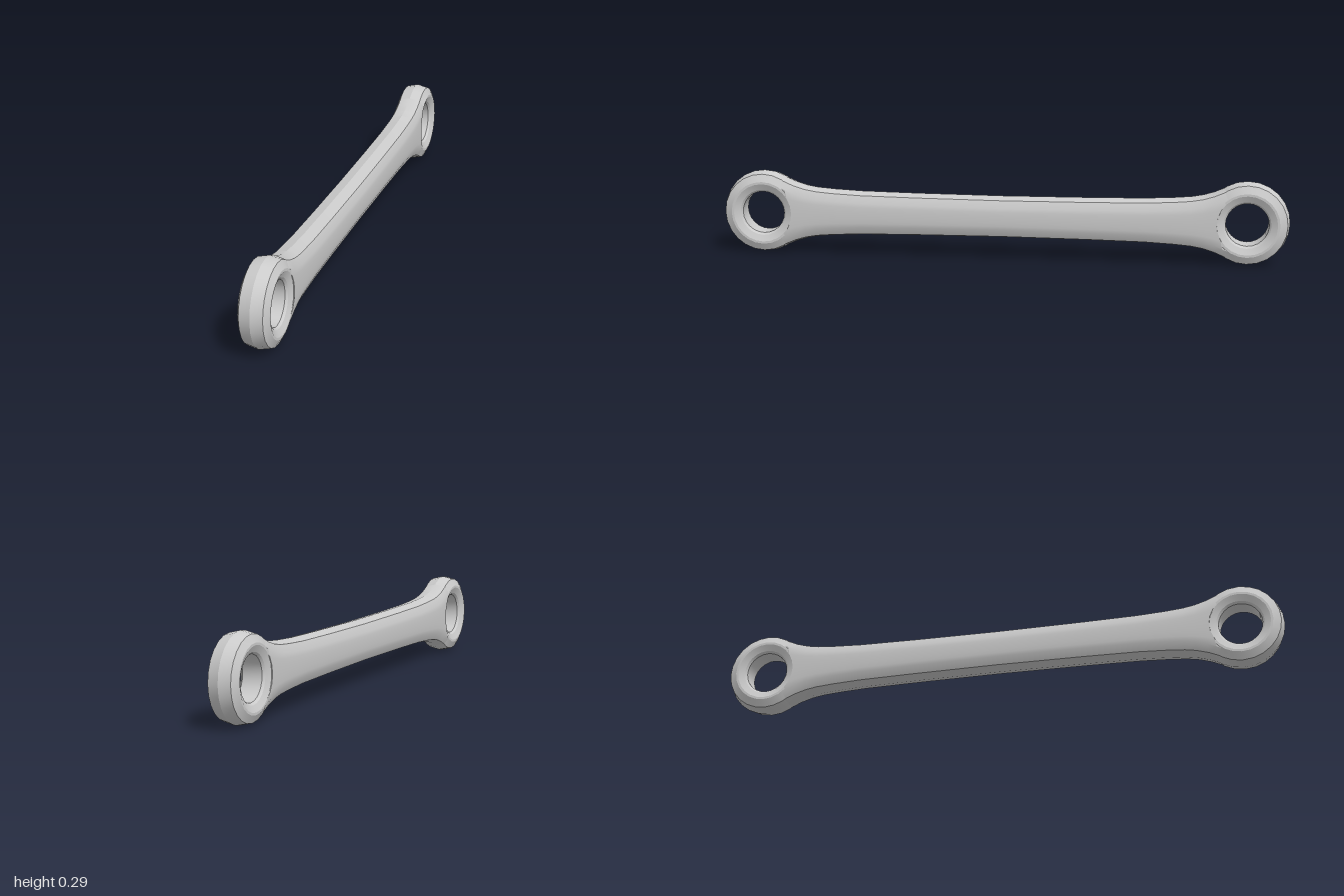
import * as THREE from 'three';
import { toCreasedNormals } from 'three/addons/utils/BufferGeometryUtils.js';

const MID_Y = 0.147;   // height of the long axis
const EYE_Z = 0.853;   // distance of each eye from the centre
const FACE_R = 0.105;  // radius at which the shaft stops around the bore

// Faceted eye ring, turned about the x axis
function eyeGeometry() {
  const outer = [[0.104, 0.052], [0.112, 0.052], [0.138, 0.039], [0.147, 0]];
  const inner = [[0.075, 0.034], [0.082, 0.042]];
  const top = [...inner, ...outer];
  const bottom = top.slice(0, -1).map(([r, x]) => [r, -x]);
  const loop = [...bottom, ...top.reverse(), bottom[0]];
  const points = loop.map(([r, x]) => new THREE.Vector2(r, x));
  const geometry = new THREE.LatheGeometry(points, 24).rotateZ(Math.PI / 2);
  return toCreasedNormals(geometry, 0.42);
}

// Cross-section of the shaft with half height h: ridge, shoulder, bulging side
function section(h, w) {
  const side = h - 0.036;
  const quarter = [
    [w, 0], [w - 0.0003, side * 0.33], [w - 0.001, side * 0.66],
    [w - 0.003, side], [w - 0.016, h - 0.01], [0, h],
  ];
  const half = [...quarter, ...quarter.slice(0, -1).reverse().map(([x, y]) => [-x, y])];
  return [...half, ...half.slice(1, -1).reverse().map(([x, y]) => [x, -y])];
}

// Shaft lofted along z, its flared ends cut round the eye faces
function shaftGeometry() {
  const end = [
    [0, 0.074, 0.055], [0.3, 0.076, 0.055], [0.5, 0.079, 0.055],
    [0.6, 0.084, 0.055], [0.66, 0.089, 0.055], [0.7, 0.096, 0.055],
    [0.74, 0.108, 0.055], [0.77, 0.121, 0.055], [0.8, 0.134, 0.052],
  ];
  const stations = [...end.slice(1).reverse().map(([z, h, w]) => [-z, h, w]), ...end];
  const positions = [];
  const index = [];
  let n = 0;
  stations.forEach(([z, h, w], s) => {
    const ring = section(h, w);
    n = ring.length;
    ring.forEach(([x, y], i) => {
      const stop = EYE_Z - Math.sqrt(Math.max(0, FACE_R ** 2 - y * y));
      positions.push(x, y, Math.sign(z) * Math.min(Math.abs(z), stop));
      if (s === 0) return;
      const a = (s - 1) * n + i;
      const b = (s - 1) * n + (i + 1) % n;
      index.push(a, b, a + n, b, b + n, a + n);
    });
  });
  const geometry = new THREE.BufferGeometry();
  geometry.setAttribute('position', new THREE.Float32BufferAttribute(positions, 3));
  geometry.setIndex(index);
  return toCreasedNormals(geometry, 0.5);
}

export function createModel() {
  const group = new THREE.Group();
  group.name = 'connectingRod';
  const material = new THREE.MeshStandardMaterial({ color: 0xcccccc });

  const shaft = new THREE.Mesh(shaftGeometry(), material);
  shaft.name = 'shaft';
  shaft.position.y = MID_Y;
  group.add(shaft);

  const eye = eyeGeometry();
  for (const [name, sign] of [['frontEye', 1], ['backEye', -1]]) {
    const mesh = new THREE.Mesh(eye, material);
    mesh.name = name;
    mesh.position.set(0, MID_Y, sign * EYE_Z);
    group.add(mesh);
  }
  return group;
}
